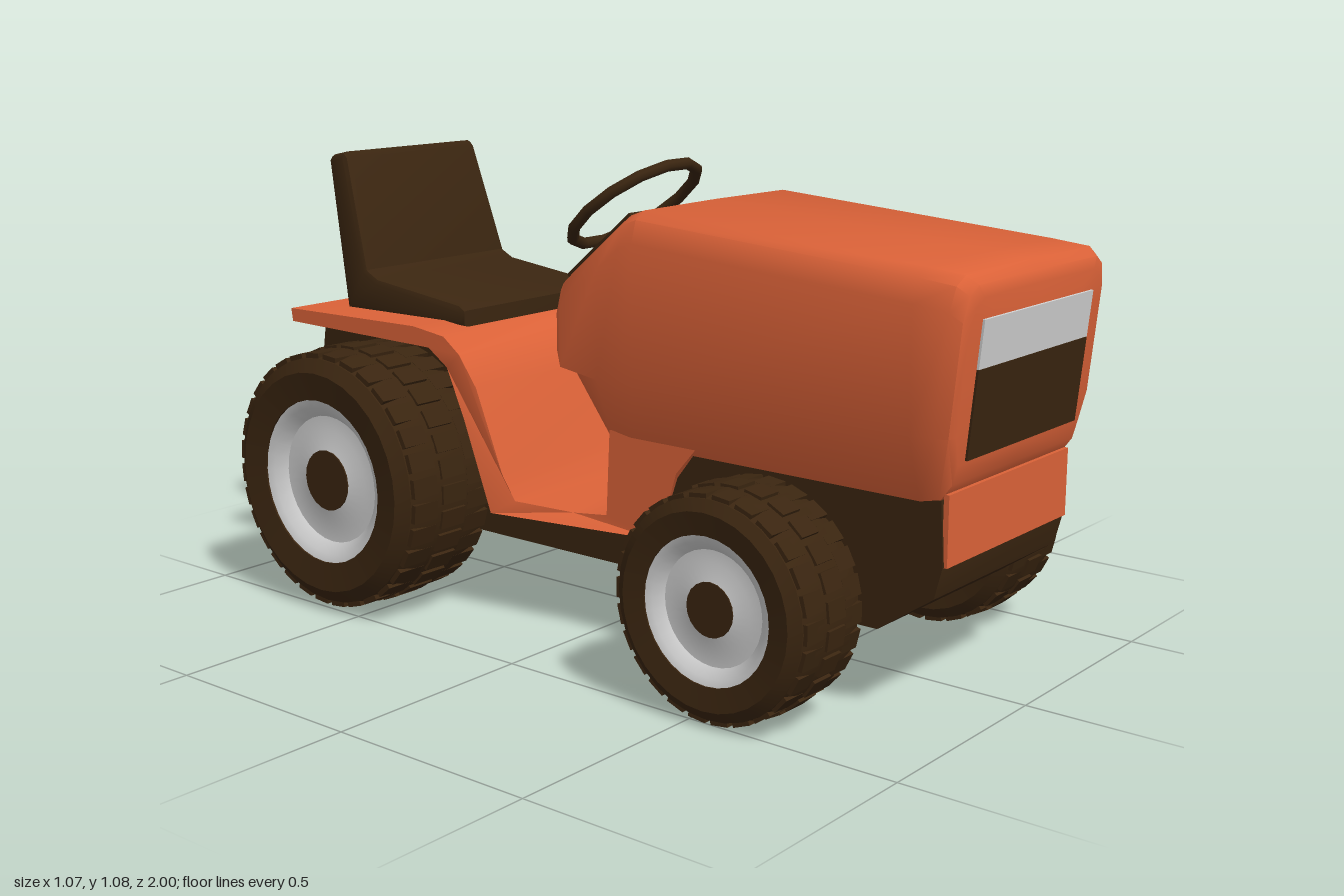
import * as THREE from 'three';
import { toCreasedNormals } from 'three/addons/utils/BufferGeometryUtils.js';

const material = (name, color) => Object.assign(new THREE.MeshStandardMaterial({ color }), { name });
const orange = material('orange paint', 0xdb6238);
const dark = material('dark brown', 0x3a2510);
const silver = material('silver', 0xd0d0d0);

function part(name, geometry, mat, parent) {
  const mesh = new THREE.Mesh(geometry, mat);
  mesh.name = name;
  parent.add(mesh);
  return mesh;
}

// Extrude a [z, y] side profile across x; halfWidth(z, y) sets the width at each corner
function sideExtrude(points, halfWidth, bevel = 0) {
  const shape = new THREE.Shape(points.map(p => new THREE.Vector2(...p)));
  const geo = new THREE.ExtrudeGeometry(shape, {
    depth: 2 - 2 * bevel, bevelEnabled: bevel > 0, bevelSize: bevel, bevelOffset: -bevel,
    bevelThickness: bevel, bevelSegments: 2,
  });
  geo.translate(0, 0, bevel - 1).rotateY(-Math.PI / 2);
  const pos = geo.attributes.position;
  for (let i = 0; i < pos.count; i++) {
    const x = pos.getX(i), w = halfWidth(pos.getZ(i), pos.getY(i));
    // keep the bevel its true size while changing the width
    pos.setX(i, Math.sign(x) * (w - (1 - Math.abs(x))));
  }
  return toCreasedNormals(geo, 0.6);
}

// Hood lofted through cross-sections from front to back
function hoodGeometry() {
  const stations = [ // z, top, bottom, half width
    [0.992, 0.895, 0.56, 0.27], [0.985, 0.92, 0.52, 0.288], [0.96, 0.938, 0.48, 0.3],
    [0.88, 0.947, 0.47, 0.3], [0.18, 1.0, 0.47, 0.3], [0.14, 0.985, 0.47, 0.3],
    [0.08, 0.935, 0.48, 0.3], [-0.03, 0.843, 0.625, 0.297], [-0.045, 0.825, 0.66, 0.29],
  ];
  const verts = [], index = [];
  const lean = (z, y) => (z > 0.9 ? z + 0.1 * (y - 0.85) : z);
  for (const [z, top, bottom, w] of stations) {
    const half = [
      [0, top], [w - 0.045, top - 0.002], [w - 0.015, top - 0.02], [w, top - 0.07],
      [w, Math.max(0.62, bottom + 0.01)], [0.25, bottom], [0, bottom],
    ];
    const ring = [...half, ...half.slice(1, -1).reverse().map(([x, y]) => [-x, y])];
    for (const [x, y] of ring) verts.push(x, y, lean(z, y));
  }
  const n = 12, last = stations.length - 1;
  const front = verts.length / 3, back = front + 1;
  verts.push(0, 0.72, lean(0.992, 0.72), 0, 0.74, -0.045);
  for (let j = 0; j < n; j++) {
    const k = (j + 1) % n;
    for (let i = 0; i < last; i++) {
      const a = i * n + j, b = i * n + k;
      index.push(a, b, a + n, b, b + n, a + n);
    }
    index.push(front, k, j, back, last * n + j, last * n + k);
  }
  const geo = new THREE.BufferGeometry();
  geo.setAttribute('position', new THREE.Float32BufferAttribute(verts, 3));
  geo.setIndex(index);
  return toCreasedNormals(geo, 0.75);
}

// Wheel whose outer face points to +x
function makeWheel(name, R, h, rim, lugs) {
  const wheel = new THREE.Group();
  wheel.name = name;
  const lathe = pts => toCreasedNormals(
    new THREE.LatheGeometry(pts.map(p => new THREE.Vector2(...p)), 32).rotateZ(-Math.PI / 2), 0.6);
  const r = R - 0.005;
  part('tyre', lathe([
    [0, -0.4 * h], [rim, -0.4 * h], [rim, -0.93 * h], [0.86 * r, -h], [0.96 * r, -0.85 * h],
    [r, -0.5 * h], [r, 0.5 * h], [0.96 * r, 0.85 * h], [0.86 * r, h], [rim, 0.93 * h], [rim, 0.6 * h],
  ]), dark, wheel);
  part('rim', lathe([
    [rim, 0.9 * h], [0.9 * rim, 0.86 * h], [0.78 * rim, 0.7 * h], [0.6 * rim, 0.7 * h], [0.36 * rim, 0.78 * h],
  ]), silver, wheel);
  part('hub', new THREE.CylinderGeometry(0.37 * rim, 0.37 * rim, h * 0.5, 20).rotateZ(-Math.PI / 2),
    dark, wheel).position.x = 0.55 * h;
  // Low tread blocks in three staggered rows
  const block = new THREE.BoxGeometry(0.5 * h, 0.012, (Math.PI * 2 * R / lugs) * 0.72);
  for (let row = -1; row <= 1; row++) {
    for (let i = 0; i < lugs; i++) {
      const a = ((i + (row ? 0.5 : 0)) / lugs) * Math.PI * 2;
      const d = R - 0.006 - (row ? 0.006 : 0);
      const lug = part('treadBlock', block, dark, wheel);
      lug.position.set(row * 0.58 * h, d * Math.cos(a), d * Math.sin(a));
      lug.rotation.x = a;
    }
  }
  return wheel;
}

export function createModel() {
  const model = new THREE.Group();
  model.name = 'gardenTractor';

  // Dark chassis with rear housing
  part('chassis', sideExtrude([
    [0.93, 0.485], [0.938, 0.35], [0.92, 0.28], [0.79, 0.19], [-0.84, 0.19], [-0.97, 0.34], [-0.96, 0.4],
    [-0.925, 0.62], [-0.88, 0.655], [-0.42, 0.65], [-0.3, 0.5], [-0.23, 0.265], [0.22, 0.275],
    [0.27, 0.42], [0.32, 0.485],
  ], z => (z < -0.9 ? 0.2 : 0.252)), dark, model);

  // Neck, footwell floor and rear fenders in one sheet
  part('floorAndFenders', sideExtrude([
    [0.33, 0.5], [0.27, 0.43], [0.22, 0.27], [-0.23, 0.265], [-0.29, 0.48], [-0.34, 0.6], [-0.4, 0.64],
    [-0.88, 0.648], [-0.885, 0.68], [-0.45, 0.685], [-0.35, 0.672], [-0.3, 0.635], [-0.26, 0.56],
    [-0.2, 0.36], [-0.17, 0.3], [-0.03, 0.288], [0.07, 0.3], [0.08, 0.5],
  ], z => 0.257 + 0.088 * THREE.MathUtils.clamp((-z - 0.03) / 0.27, 0, 1)), orange, model);

  // Hood, front apron and its painted panels
  part('hood', hoodGeometry(), orange, model);
  part('frontApron', new THREE.BoxGeometry(0.495, 0.15, 0.012), orange, model).position.set(0, 0.423, 0.939);
  const panel = (name, y, height, mat) => {
    const mesh = part(name, new THREE.BoxGeometry(0.45, height, 0.006), mat, model);
    mesh.position.set(0, y, 0.994 + 0.1 * (y - 0.85));
    mesh.rotation.x = 0.1;
  };
  panel('headlightStrip', 0.8, 0.1, silver);
  panel('grille', 0.658, 0.184, dark);
  const dash = part('dashboard', new THREE.BoxGeometry(0.515, 0.008, 0.235), dark, model);
  dash.position.set(0, 0.911, 0.051);
  dash.rotation.x = -0.695;

  // Steering wheel
  const steering = part('steeringWheel', new THREE.TorusGeometry(0.165, 0.014, 8, 14), dark, model);
  steering.position.set(0, 0.97, -0.06);
  steering.rotation.x = -(Math.PI / 2 + 0.666);

  // Seat with cushion and backrest
  part('seat', sideExtrude([
    [-0.38, 0.675], [-0.38, 0.715], [-0.4, 0.728], [-0.68, 0.762], [-0.715, 0.78], [-0.797, 1.05],
    [-0.81, 1.063], [-0.855, 1.053], [-0.865, 1.04], [-0.79, 0.675],
  ], (z, y) => (y > 1.03 ? 0.225 : 0.245), 0.014), dark, model);

  // Rear hitch frame
  const rectangle = (Type, w, h) => new Type([[-w, -h], [w, -h], [w, h], [-w, h]].map(p => new THREE.Vector2(...p)));
  const outline = rectangle(THREE.Shape, 0.14, 0.1);
  outline.holes.push(rectangle(THREE.Path, 0.117, 0.077));
  const frame = part('hitchFrame',
    new THREE.ExtrudeGeometry(outline, { depth: 0.03, bevelEnabled: false }).translate(0, 0, -0.015), orange, model);
  frame.position.set(0, 0.48, -0.965);
  frame.rotation.x = 0.2;

  // Axles and wheels
  for (const [name, z, R, x, h, rim, lugs] of [
    ['front', 0.555, 0.247, 0.415, 0.115, 0.158, 26],
    ['rear', -0.59, 0.312, 0.39, 0.145, 0.197, 32],
  ]) {
    part(name + 'Axle', new THREE.CylinderGeometry(0.045, 0.045, 2 * x, 12).rotateZ(Math.PI / 2), dark, model)
      .position.set(0, R, z);
    for (const side of [1, -1]) {
      const wheel = makeWheel(name + (side > 0 ? 'LeftWheel' : 'RightWheel'), R, h, rim, lugs);
      wheel.position.set(side * x, R + (name === 'rear' ? 0.008 : 0), z);
      if (side < 0) wheel.rotation.y = Math.PI;
      model.add(wheel);
    }
  }
  return model;
}
